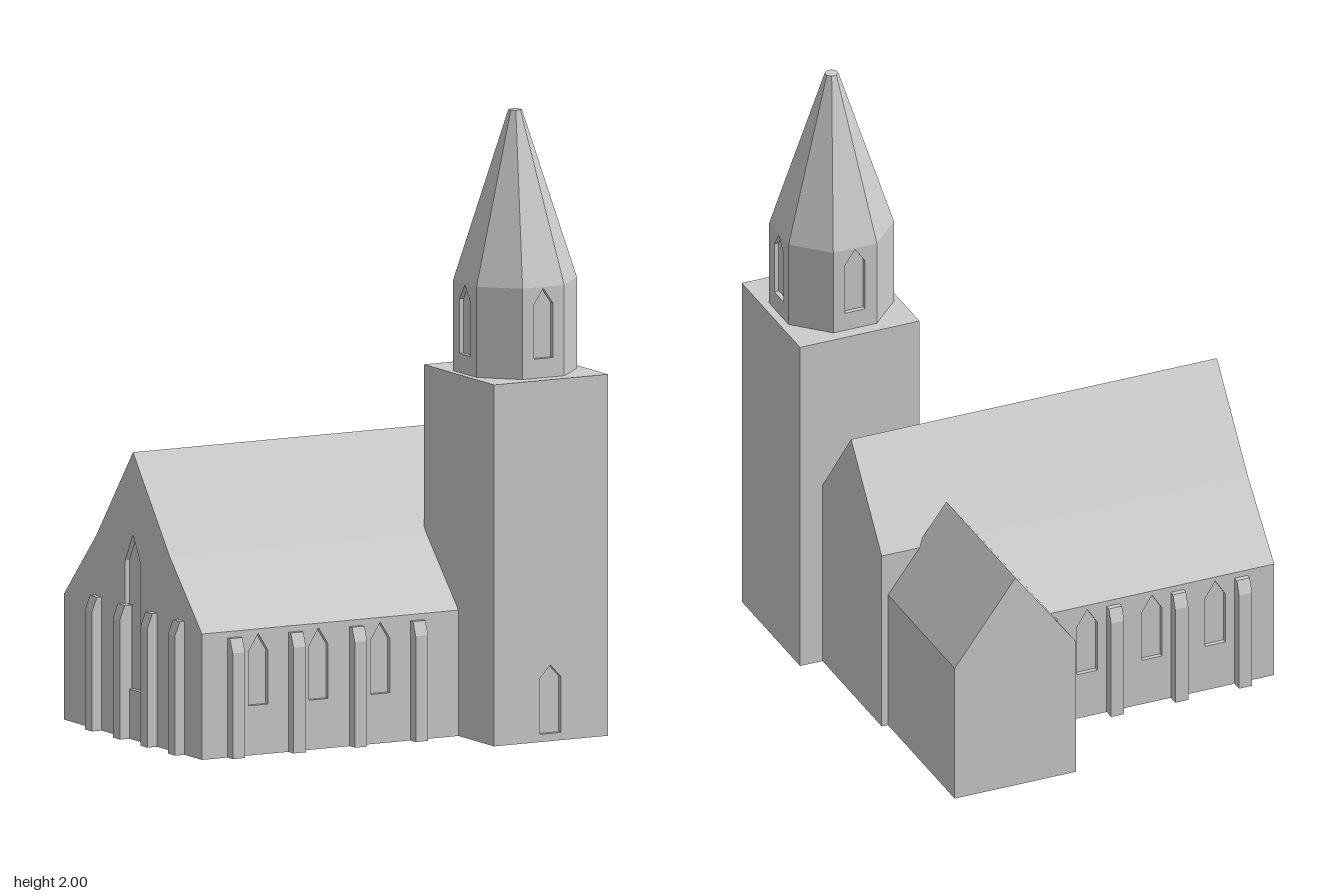
import * as THREE from 'three';

const stone = new THREE.MeshStandardMaterial({ color: 0xcccccc });
stone.name = 'pale grey stone';

const D = 0.015; // depth of window and door recesses

export function createModel() {
  const model = new THREE.Group();
  model.name = 'church';

  function add(name, geometry, x = 0, y = 0, z = 0, turn = 0, parent = model) {
    const mesh = new THREE.Mesh(geometry, stone);
    mesh.name = name;
    mesh.position.set(x, y, z);
    mesh.rotation.y = turn;
    parent.add(mesh);
    return mesh;
  }

  const points = list => list.map(([x, y]) => new THREE.Vector2(x, y));

  // Straight extrusion of an outline, with optional holes
  function slab(outline, depth, holes = []) {
    const shape = new THREE.Shape(points(outline));
    shape.holes = holes.map(h => new THREE.Path(points(h)));
    return new THREE.ExtrudeGeometry(shape, { depth, bevelEnabled: false });
  }

  // Wall skin whose outer face lies at local z = 0
  const skin = (outline, holes) => slab(outline, D, holes).translate(0, 0, -D);

  // Pointed opening: centre, width, sill, spring line, tip
  const arch = (x, w, y0, y1, tip) =>
    [[x - w / 2, y0], [x + w / 2, y0], [x + w / 2, y1], [x, tip], [x - w / 2, y1]];

  const rect = (x0, x1, y0, y1) => [[x0, y0], [x1, y0], [x1, y1], [x0, y1]];

  function block(name, x0, x1, y0, y1, z0, z1) {
    add(name, new THREE.BoxGeometry(x1 - x0, y1 - y0, z1 - z0),
      (x0 + x1) / 2, (y0 + y1) / 2, (z0 + z1) / 2);
  }

  const ALONG_X = -Math.PI / 2; // outline x becomes world z, depth runs to -x

  // Nave with lean-to aisles
  const west = -0.66, aisleEnd = 0.4, front = 0.485, back = -0.405, eave = 0.405;
  const roof = [[front, eave], [0.278, 0.622], [0.04, 0.925], [-0.198, 0.622], [back, eave]];
  block('naveCore', west + D, aisleEnd, 0, eave, back + D, front - D);
  add('naveRoof', slab(roof, aisleEnd - west - D), aisleEnd, 0, 0, ALONG_X);
  add('westGable', skin([[back, 0], [front, 0], ...roof],
    [arch(0.04, 0.1, 0.16, 0.57, 0.66)]), west, 0, 0, ALONG_X);

  const windowXs = [-0.455, -0.235, -0.01];
  const sideWindows = s => windowXs.map(x => arch(s * x, 0.07, 0.16, 0.335, 0.39));
  add('frontAisleWall', skin(rect(west + D, aisleEnd, 0, eave), sideWindows(1)), 0, 0, front);
  add('backAisleWall', skin(rect(-aisleEnd, -west - D, 0, eave), sideWindows(-1)),
    0, 0, back, Math.PI);

  // Chancel at the far end
  add('chancel', slab([[-0.198, 0], [0.278, 0], [0.278, 0.622], [0.04, 0.925], [-0.198, 0.622]],
    0.612 - aisleEnd), 0.612, 0, 0, ALONG_X);

  // Transept to the rear
  add('transept', slab([[0.168, 0], [0.59, 0], [0.59, 0.475], [0.379, 0.757], [0.168, 0.475]],
    0.535), 0, 0, -0.715);

  // Buttresses with sloped caps
  const buttress = h => slab([[-0.01, 0], [0.035, 0], [0.035, h - 0.045],
    [0.017, h], [-0.01, h]], 0.045).translate(0, 0, -0.0225);
  for (const x of [-0.545, -0.323, -0.1, 0.122]) {
    add('frontButtress', buttress(0.385), x, 0, front, -Math.PI / 2);
    add('backButtress', buttress(0.385), x, 0, back, Math.PI / 2);
  }
  for (const z of [-0.185, -0.005, 0.173, 0.35]) {
    add('westButtress', buttress(0.43), west, 0, z, Math.PI);
  }

  // Tower with a door
  const towerTop = 1.163;
  block('tower', 0.275, 0.69, 0, towerTop, 0.262, 0.715 - D);
  add('towerFrontWall', skin(rect(0.275, 0.69, 0, towerTop),
    [arch(0.48, 0.077, 0.025, 0.205, 0.245)]), 0, 0, 0.715);

  // Octagonal belfry with four windows, and spire
  const belfry = new THREE.Group();
  belfry.name = 'belfry';
  belfry.position.set(0.48, 0, 0.487);
  model.add(belfry);
  const apothem = 0.183, belfryTop = 1.455;
  const half = apothem * Math.tan(Math.PI / 8);
  const octagon = (top, bottom, h) => {
    const k = Math.cos(Math.PI / 8);
    const g = new THREE.CylinderGeometry(top / k, bottom / k, h, 8)
      .rotateY(Math.PI / 8).toNonIndexed();
    g.computeVertexNormals();
    return g;
  };
  add('belfryCore', octagon(apothem - D, apothem - D, belfryTop - towerTop),
    0, (towerTop + belfryTop) / 2, 0, 0, belfry);
  for (let i = 0; i < 8; i++) {
    const a = i * Math.PI / 4;
    const holes = i % 2 ? [] : [arch(0, 0.07, 1.225, 1.4, 1.45)];
    add('belfryWall', skin(rect(-half, half, towerTop, belfryTop), holes),
      Math.sin(a) * apothem, 0, Math.cos(a) * apothem, a, belfry);
  }
  add('spire', octagon(0.02, apothem, 2 - belfryTop), 0, (2 + belfryTop) / 2, 0, 0, belfry);

  return model;
}
